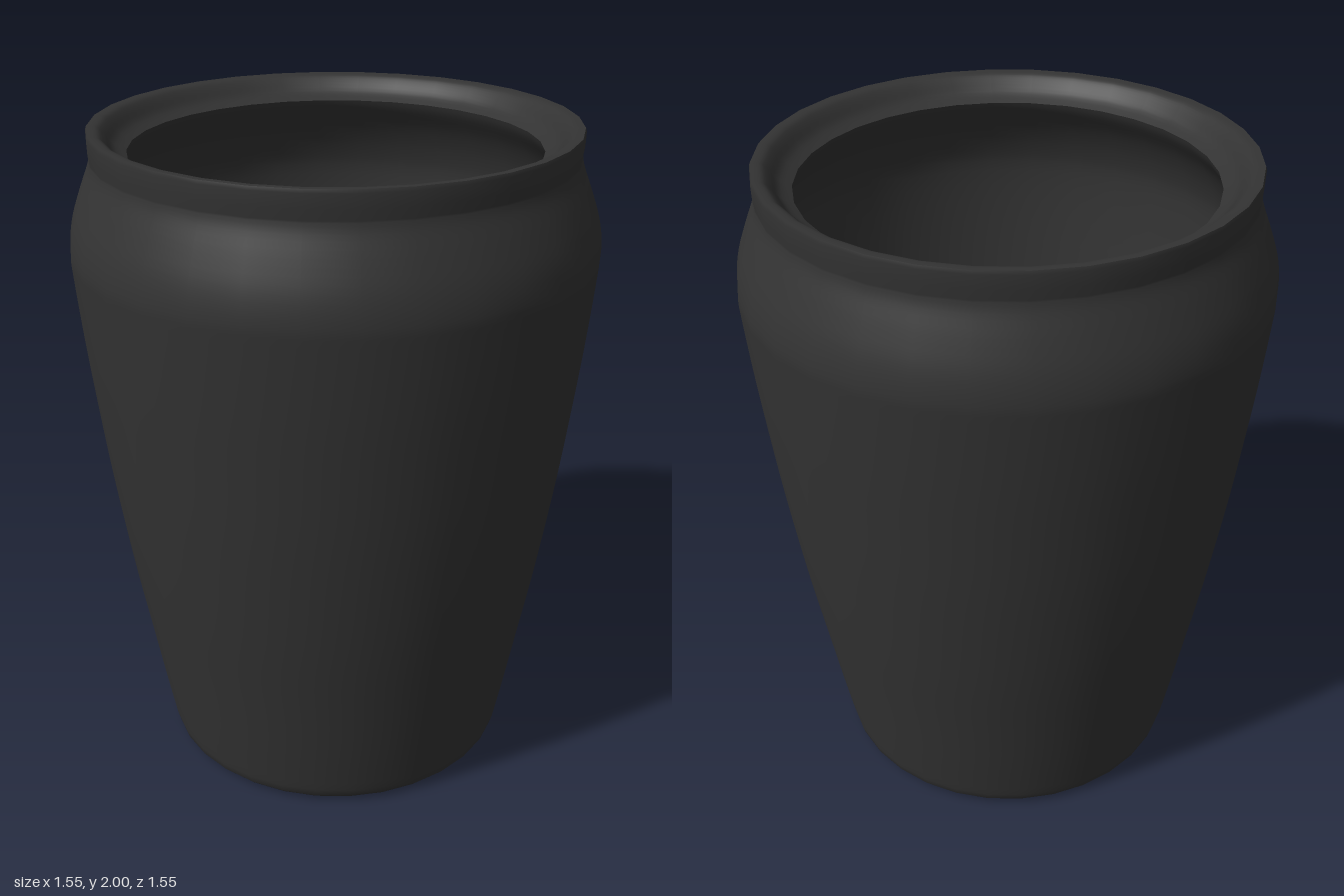
import * as THREE from 'three';

const SIDES = 32;
const material = new THREE.MeshStandardMaterial({ color: 0x333333, roughness: 0.8 });

// Smooth curve through [radius, height] points
function smooth(points, count) {
  return new THREE.SplineCurve(points.map(([r, y]) => new THREE.Vector2(r, y))).getPoints(count);
}

function turned(name, profile) {
  const mesh = new THREE.Mesh(new THREE.LatheGeometry(profile, SIDES), material);
  mesh.name = name;
  return mesh;
}

export function createModel() {
  const pot = new THREE.Group();
  pot.name = 'pot';

  // Underside, rounded foot, tapering wall, shoulder and neck
  const base = [[0, 0], [0.45, 0], [0.505, 0.005], [0.53, 0.012], [0.542, 0.025]]
    .map(([r, y]) => new THREE.Vector2(r, y));
  const wall = smooth([
    [0.549, 0.05], [0.577, 0.2], [0.612, 0.4], [0.647, 0.6], [0.678, 0.8], [0.706, 1.0],
    [0.73, 1.2], [0.752, 1.4], [0.77, 1.6], [0.773, 1.67], [0.76, 1.745], [0.733, 1.825],
    [0.708, 1.89], [0.701, 1.92],
  ], 48);
  const collar = [[0.705, 1.95], [0.706, 1.99], [0.703, 2]].map(([r, y]) => new THREE.Vector2(r, y));
  pot.add(turned('outerWall', [...base, ...wall, ...collar]));

  // Flat rim dipping into the mouth
  pot.add(turned('rim', smooth([[0.703, 2], [0.675, 1.997], [0.655, 1.98], [0.63, 1.95], [0.595, 1.93]], 14)));

  // Hollow inside, widening below the lip and narrowing to the floor
  const inside = smooth([
    [0.595, 1.93], [0.61, 1.9], [0.66, 1.83], [0.7, 1.74], [0.715, 1.64], [0.7, 1.4],
    [0.656, 1.0], [0.597, 0.6], [0.56, 0.4], [0.525, 0.2], [0.505, 0.09],
  ], 36);
  const floor = [[0.49, 0.065], [0.46, 0.06], [0, 0.06]].map(([r, y]) => new THREE.Vector2(r, y));
  pot.add(turned('innerWall', [...inside, ...floor]));

  return pot;
}
